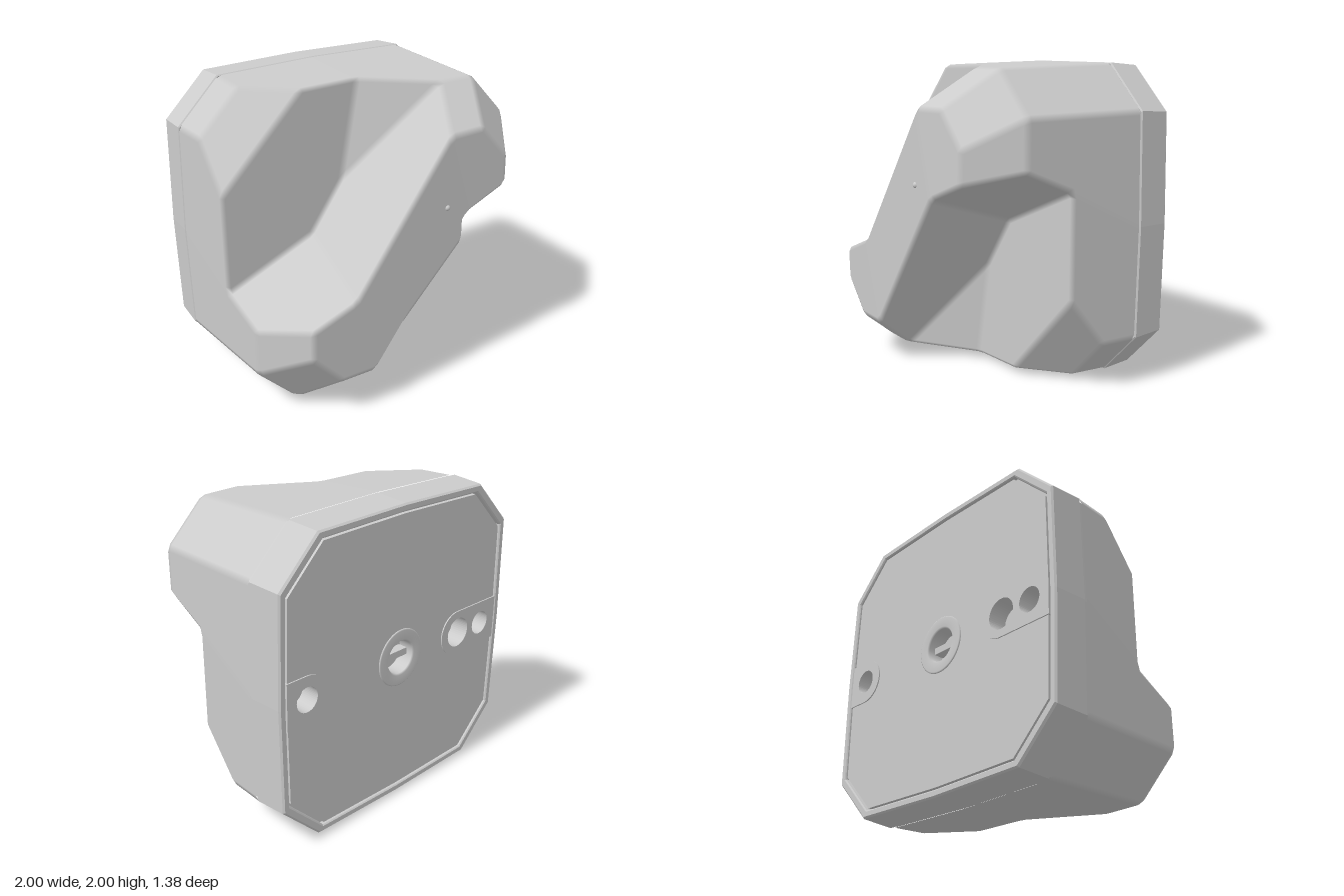
import * as THREE from 'three';

const grey = new THREE.MeshStandardMaterial({ color: 0xcccccc });
const greyBoth = new THREE.MeshStandardMaterial({ color: 0xcccccc, side: THREE.DoubleSide });

function mesh(geometry, name, material = grey) {
  const m = new THREE.Mesh(geometry, material);
  m.name = name;
  return m;
}

// Half of the body's corners; the other half is the same turned 180 degrees about z
const P = {
  // raised diagonal block: front face, chamfers and foot
  A: [0.43, 0.19, 0.68], B: [0.73, 0.30, 0.67], F: [0.73, 0.50, 0.665], G: [0.52, 0.72, 0.665], H: [0.26, 0.72, 0.675],
  C: [0.95, 0.375, 0.36], K: [0.95, 0.68, 0.36], J: [0.68, 0.955, 0.36], I: [0.42, 0.96, 0.36],
  D: [0.97, 0.25, 0.05], E: [0.35, 0.00, 0.05],
  // recessed floor and its cut corner
  L: [0.12, -0.32, 0.05], M: [0, -0.975, 0.05], N: [0.40, -0.97, 0.05], O: [0.97, -0.40, 0.05],
  S: [0.70, -0.975, -0.20], Q: [0.975, -0.70, -0.20],
  // rear outline
  u: [0.70, -0.985, -0.473], v: [0.985, -0.70, -0.473], r: [1, 0, -0.473],
  w: [0.985, 0.70, -0.473], x: [0.70, 0.985, -0.473], t: [0, 1, -0.473],
};

// Each word lists one face; ' marks the turned twin of a corner
const FACES = [
  'ABFGH',                  // end of the front face
  'BCKF', 'FKJG', 'GJIH',   // front chamfers
  'AEDCB', "EAH'I'L",       // walls of the raised block
  "LI'M", 'ELMNOD', 'NSQO', // ramp, floor, cut corner
  'vrDOQ', 'DrwKC', 'wxJK', // right side and corner
  "tM'IJx", "tu'S'N'M'",    // top
  'uvQS',
];

// Softened body: every face is inset, then joined by edge strips and corner patches
function bodyGeometry(bevel) {
  const turned = (k) => (k.length > 1 ? k[0] : k + "'");
  const words = FACES.map((f) => f.match(/[A-Za-z]'?/g));
  const loops = [...words, ...words.map((f) => f.map(turned)), ['H', "A'", "H'", 'A']];
  const point = (k) => {
    const [x, y, z] = P[k[0]];
    return k.length > 1 ? new THREE.Vector3(-x, -y, z) : new THREE.Vector3(x, y, z);
  };

  // corners, keyed by their outgoing edge
  const corners = new Map();
  const faces = loops.map((keys) => {
    const pts = keys.map(point);
    const n = pts.length;
    const normal = new THREE.Vector3();
    pts.forEach((p, i) => normal.add(p.clone().cross(pts[(i + 1) % n])));
    normal.normalize();
    const inward = pts.map((p, i) => normal.clone().cross(pts[(i + 1) % n].clone().sub(p)).normalize());
    return keys.map((key, i) => {
      const a = inward[(i + n - 1) % n], b = inward[i];
      const offset = a.clone().add(b).multiplyScalar(bevel / (1 + a.dot(b)));
      const corner = { key, normal, pos: pts[i].clone().add(offset), prev: keys[(i + n - 1) % n], next: keys[(i + 1) % n] };
      corners.set(key + '>' + corner.next, corner);
      return corner;
    });
  });

  const positions = [], normals = [];
  const addPolygon = (poly) => {
    for (let i = 1; i < poly.length - 1; i++) {
      for (const c of [poly[0], poly[i], poly[i + 1]]) {
        positions.push(...c.pos);
        normals.push(...c.normal);
      }
    }
  };
  const done = new Set();
  for (const face of faces) {
    addPolygon(face);
    face.forEach((c, i) => {
      const next = face[(i + 1) % face.length];
      // strip to the neighbour across this edge
      const far = corners.get(c.next + '>' + c.key);
      if (far && c.key < c.next) {
        const near = corners.get(c.key + '>' + c.next);
        const farEnd = faces.find((f) => f.includes(far)).find((q) => q.key === c.key);
        addPolygon([next, near, farEnd, far]);
      }
      // patch around this corner
      if (done.has(c.key)) return;
      done.add(c.key);
      const ring = [c];
      let q = corners.get(c.key + '>' + c.prev);
      while (q && q !== c) {
        ring.push(q);
        q = corners.get(q.key + '>' + q.prev);
      }
      if (q === c) addPolygon(ring);
    });
  }
  const g = new THREE.BufferGeometry();
  g.setAttribute('position', new THREE.Float32BufferAttribute(positions, 3));
  g.setAttribute('normal', new THREE.Float32BufferAttribute(normals, 3));
  return g;
}

const half = ['u', 'v', 'r', 'w', 'x', 't'].map((k) => P[k]);
const OUTLINE = [...half, ...half.map(([x, y]) => [-x, -y])];

// Rear frame: the outline lofted through [scale, z] steps, including the seam
function frameGeometry() {
  const steps = [[0.985, -0.42], [0.985, -0.46], [0.993, -0.458], [1, -0.465], [0.985, -0.678],
    [0.975, -0.69], [0.945, -0.69], [0.938, -0.683], [0.936, -0.655], [0.9, -0.655]];
  const out = [];
  for (let k = 0; k < steps.length - 1; k++) {
    for (let i = 0; i < OUTLINE.length; i++) {
      const p = (n, j) => {
        const q = OUTLINE[j % OUTLINE.length];
        return [q[0] * steps[n][0], q[1] * steps[n][0], steps[n][1]];
      };
      const a = p(k, i), b = p(k, i + 1), c = p(k + 1, i), d = p(k + 1, i + 1);
      out.push(...c, ...d, ...b, ...c, ...b, ...a);
    }
  }
  const g = new THREE.BufferGeometry();
  g.setAttribute('position', new THREE.Float32BufferAttribute(out, 3));
  g.computeVertexNormals();
  return g;
}

const circle = (x, radius) => new THREE.Path().absarc(x, 0, radius, 0, Math.PI * 2, true);

// Flat back panel set into the frame, cut out behind the boss and tab holes
function panelGeometry() {
  const shape = new THREE.Shape(OUTLINE.map(([x, y]) => new THREE.Vector2(x * 0.924, y * 0.924)));
  shape.holes.push(circle(0, 0.14), circle(0.78, 0.09), circle(-0.55, 0.11), circle(-0.78, 0.09));
  return new THREE.ExtrudeGeometry(shape, { depth: 0.05, bevelEnabled: false, curveSegments: 24 });
}

// Mounting tab with a rounded inner end and [x, radius] holes
function mountTab(name, side, inner, holes) {
  const tab = new THREE.Group();
  tab.name = name;
  const r = 0.15;
  const shape = new THREE.Shape();
  shape.moveTo(0.93, -r);
  shape.lineTo(0.93, r);
  shape.lineTo(inner + r, r);
  shape.absarc(inner + r, 0, r, Math.PI / 2, Math.PI * 1.5, false);
  shape.closePath();
  for (const [x, radius] of holes) {
    shape.holes.push(circle(x, radius));
    const floor = mesh(new THREE.CircleGeometry(radius * 1.05, 32), 'holeFloor', greyBoth);
    floor.position.set(x, 0, -0.56);
    tab.add(floor);
  }
  const plate = mesh(new THREE.ExtrudeGeometry(shape, { depth: 0.14, bevelEnabled: false, curveSegments: 24 }), 'tabPlate');
  plate.position.z = -0.69;
  tab.add(plate);
  if (side < 0) tab.rotation.z = Math.PI;
  return tab;
}

// Round centre boss with a slotted screw
function centreBoss() {
  const boss = new THREE.Group();
  boss.name = 'centreBoss';
  const profile = [[0.19, -0.66], [0.19, -0.685], [0.182, -0.69], [0.12, -0.69], [0.11, -0.68], [0.11, -0.55]]
    .map(([r, z]) => new THREE.Vector2(r, -z));
  const ring = mesh(new THREE.LatheGeometry(profile, 48), 'bossRing', greyBoth);
  ring.rotation.x = -Math.PI / 2;
  const floor = mesh(new THREE.CircleGeometry(0.112, 32), 'bossFloor', greyBoth);
  floor.position.z = -0.58;
  const bar = mesh(new THREE.BoxGeometry(0.2, 0.045, 0.07), 'screwBar');
  bar.position.z = -0.61;
  boss.add(ring, floor, bar);
  return boss;
}

export function createModel() {
  const group = new THREE.Group();
  group.name = 'housing';
  const core = new THREE.Group();
  core.name = 'housingParts';
  core.position.y = 1;
  group.add(core);

  const dot = mesh(new THREE.SphereGeometry(0.02, 16, 12), 'indicatorDot');
  dot.position.set(0.25, 0.26, 0.67);
  const panel = mesh(panelGeometry(), 'backPanel');
  panel.position.z = -0.682;

  core.add(
    mesh(bodyGeometry(0.025), 'frontBody'),
    mesh(frameGeometry(), 'rearFrame'),
    panel,
    mountTab('singleHoleTab', 1, 0.63, [[0.78, 0.08]]),
    mountTab('doubleHoleTab', -1, 0.39, [[0.55, 0.1], [0.78, 0.08]]),
    centreBoss(),
    dot,
  );
  return group;
}
